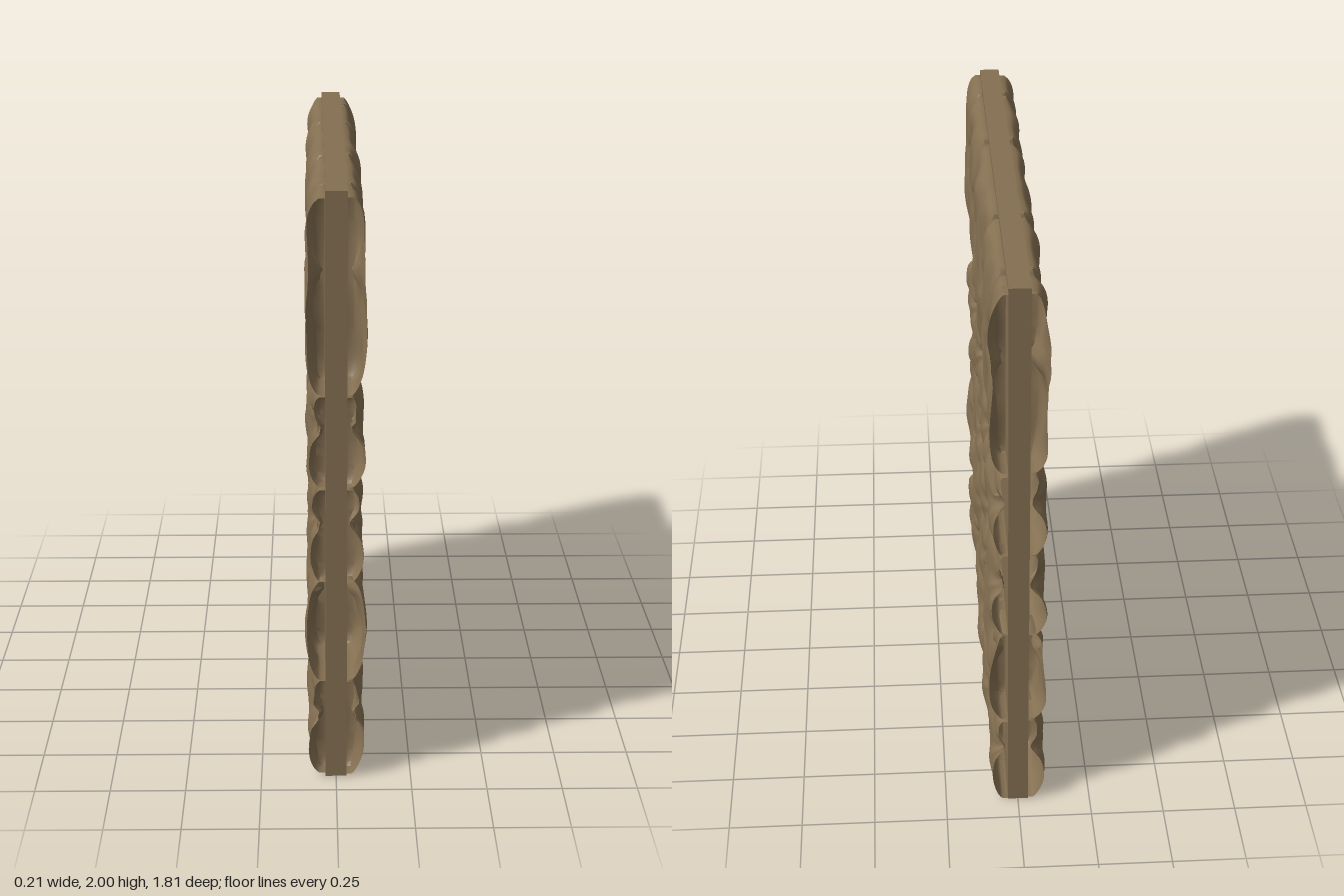
import * as THREE from 'three';
import { toCreasedNormals } from 'three/addons/utils/BufferGeometryUtils.js';

const HALF = 0.905; // half length of the wall along z
const CORE = 0.035; // half thickness of the flat core

// Courses of stuffed blocks: bottom, top, tuft height and the joints along z
const ROWS = [
  { y0: 0.008, y1: 0.348, tuft: 0.22, joints: [1.2, 0.83, 0.33, -0.19, -0.61, -0.95] },
  { y0: 0.352, y1: 0.708, tuft: 0.57, joints: [1.08, 0.59, 0.04, -0.29, -0.73, -1.15] },
  { y0: 0.712, y1: 1.03, tuft: 0.9, joints: [1.2, 0.85, 0.5, 0.01, -0.5, -0.94] },
  { y0: 1.034, y1: 1.335, tuft: 1.22, joints: [1.2, 0.84, 0.38, 0.03, -0.45, -0.95] },
  { y0: 1.342, y1: 1.975, tuft: 1.7, joints: [1.15, 0.705, 0.26, -0.345, -0.75, -1.15] },
];

const clamp = THREE.MathUtils.clamp;
const roundEdge = (d, r) => Math.sqrt(1 - (1 - clamp(d / r, 0, 1)) ** 2);

// Dimple around one tuft, with folds fanning out into the block
function pinch(z, y, tz, ty, dir, seed) {
  const dz = (z - tz) * dir, dy = y - ty;
  const d = Math.hypot(dz, dy);
  const angle = Math.atan2(dy, dz);
  const folds = Math.sin(6 * angle + seed) + 0.5 * Math.sin(9 * angle + seed * 2.3);
  return -0.028 * Math.exp(-((d / 0.035) ** 2)) - 0.02 * Math.exp(-((d / 0.09) ** 2))
    + 0.008 * folds * Math.exp(-d / 0.08) * Math.min(d / 0.04, 1);
}

// One puffed block face; the outer ring of vertices is a skirt down to the core,
// left open where the wall's end cuts the block
function blockGeometry(row, zHigh, zLow, side, seed) {
  const nx = 40, ny = 30;
  const geo = new THREE.PlaneGeometry(1, 1, nx, ny);
  const pos = geo.attributes.position;
  const lo = Math.max(zLow, -HALF), hi = Math.min(zHigh, HALF);
  const cutLo = zLow < -HALF, cutHi = zHigh > HALF;
  const cutFirst = side > 0 ? cutHi : cutLo, cutLast = side > 0 ? cutLo : cutHi;
  const ease = (t) => 0.5 * t + 0.5 * (0.5 - 0.5 * Math.cos(Math.PI * t));
  const tall = row.y1 - row.y0;

  for (let i = 0; i < pos.count; i++) {
    const ix = i % (nx + 1), iy = Math.floor(i / (nx + 1));
    const skirt = (ix === 0 && !cutFirst) || (ix === nx && !cutLast) || iy === 0 || iy === ny;
    const s = ease(clamp((ix - 1) / (nx - 2), 0, 1));
    const v = 1 - ease(clamp((iy - 1) / (ny - 2), 0, 1));
    let z = side > 0 ? hi + (lo - hi) * s : lo + (hi - lo) * s;
    let y = row.y0 + tall * v;
    const du = Math.min(z - zLow, zHigh - z), dv = Math.min(y - row.y0, row.y1 - y);

    // Swelling, gentle unevenness and the tufts at both ends
    let h = 0.046 + roundEdge(du + 0.004, 0.06) * roundEdge(dv + 0.002, 0.085)
      * (0.035 + 0.014 * Math.sin(Math.PI * v)
        + 0.007 * Math.sin(z * 13 + seed) * Math.cos(y * 15 + seed * 1.7)
        + 0.004 * Math.sin(z * 27 + y * 19 + seed * 3));
    const soft = Math.min(1, dv / 0.04) * Math.min(1, du / 0.02 + 0.3);
    h += soft * (pinch(z, y, zHigh - 0.045, row.tuft, -1, seed)
      + pinch(z, y, zLow + 0.045, row.tuft + 0.01, 1, seed + 2));
    h = clamp(h, 0.038, 0.118);

    // Rounded corners and a slightly wavy outline
    const corner = 0.015 * Math.abs(2 * v - 1) ** 10;
    const wave = 0.005 * Math.sin(y * 17 + seed);
    const nearHi = Math.max(0, 1 - (zHigh - z) / 0.08), nearLo = Math.max(0, 1 - (z - zLow) / 0.08);
    if (!cutHi) z -= nearHi * (corner + wave);
    if (!cutLo) z += nearLo * (corner - wave);
    y += 0.005 * Math.sin(z * 14 + seed) * Math.max(0, 1 - dv / 0.06);

    pos.setXYZ(i, side * (skirt ? CORE : h), Math.max(y, 0), clamp(z, -HALF, HALF));
  }
  geo.deleteAttribute('uv');
  return toCreasedNormals(geo, 0.9);
}

export function createModel() {
  const group = new THREE.Group();
  const brown = new THREE.MeshStandardMaterial({ color: 0x857052, side: THREE.DoubleSide });
  brown.name = 'earthBrown';

  // Flat core board
  const core = new THREE.Mesh(new THREE.BoxGeometry(CORE * 2, 2, HALF * 2), brown);
  core.name = 'coreBoard';
  core.position.y = 1;
  group.add(core);

  // Stuffed blocks on both faces
  for (const side of [1, -1]) {
    const face = new THREE.Group();
    face.name = side > 0 ? 'leftBlocks' : 'rightBlocks';
    ROWS.forEach((row, r) => {
      for (let k = 0; k < row.joints.length - 1; k++) {
        const seed = r * 2.1 + k * 1.3 + (side > 0 ? 0 : 0.7);
        const geo = blockGeometry(row, row.joints[k] - 0.004, row.joints[k + 1] + 0.004, side, seed);
        const block = new THREE.Mesh(geo, brown);
        block.name = `block${r + 1}_${k + 1}`;
        face.add(block);
      }
    });
    group.add(face);
  }
  return group;
}
